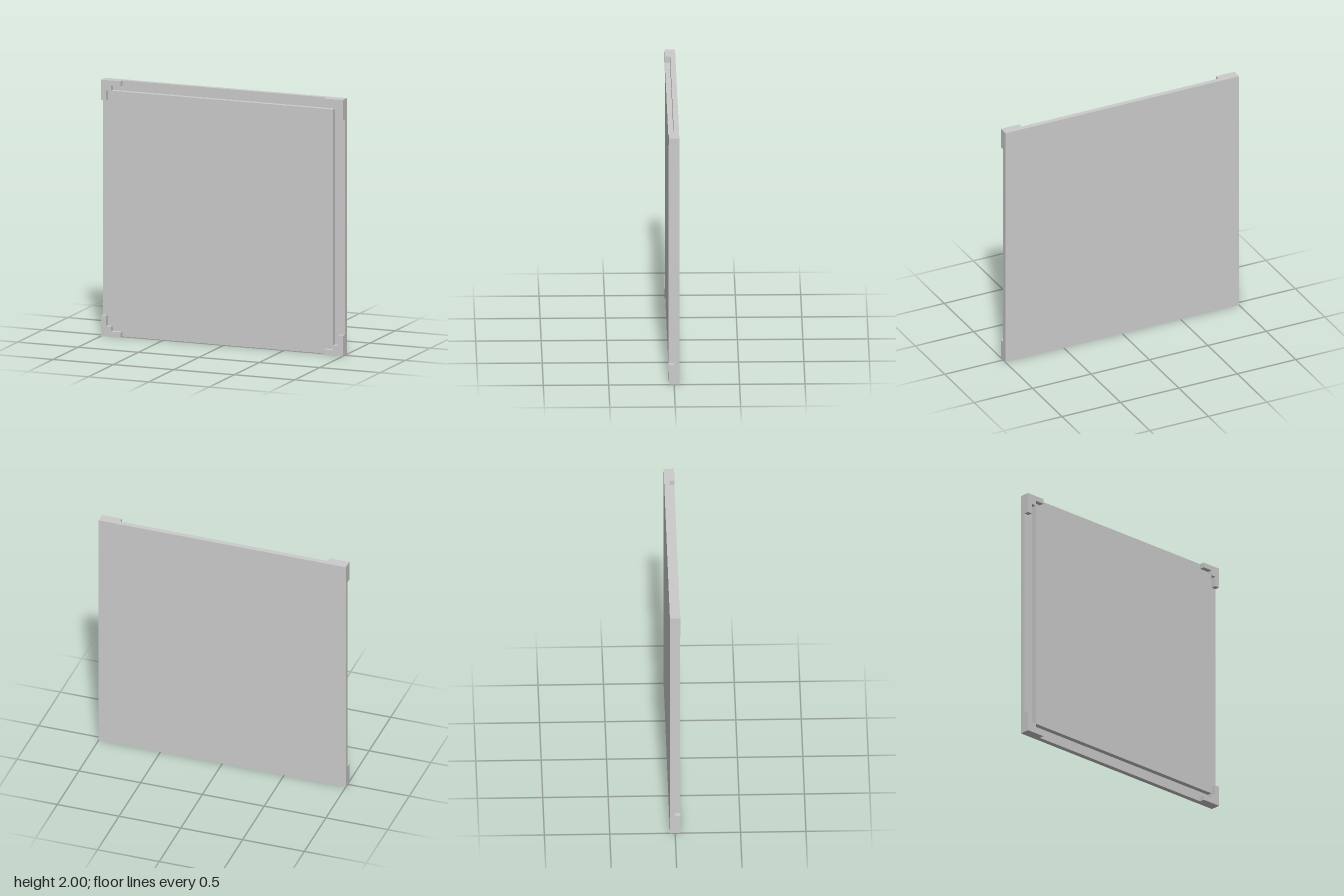
import * as THREE from 'three';

export function createModel() {
  const model = new THREE.Group();
  const material = new THREE.MeshStandardMaterial({ color: 0xcccccc, flatShading: true });
  const half = 1, layer = 0.04, rim = 0.08, arm = 0.16;

  const add = (name, geometry, z) => {
    const mesh = new THREE.Mesh(geometry, material);
    mesh.name = name;
    mesh.position.set(0, half, z);
    model.add(mesh);
    return mesh;
  };

  // Full-size back plate with a smaller raised panel in front of it
  add('backPlate', new THREE.BoxGeometry(2 * half, 2 * half, layer), -layer / 2);
  const inner = 2 * (half - rim);
  add('raisedPanel', new THREE.BoxGeometry(inner, inner, layer), layer / 2);

  // Stepped corner bracket: a square block with a thin arm along each edge
  const outline = [
    [half, half], [half - arm, half], [half - arm, half - layer],
    [half - rim, half - layer], [half - rim, half - rim],
    [half - layer, half - rim], [half - layer, half - arm], [half, half - arm],
  ].map(([x, y]) => new THREE.Vector2(x, y));
  const bracket = new THREE.ExtrudeGeometry(new THREE.Shape(outline), {
    depth: layer, bevelEnabled: false,
  });

  // The bracket is symmetric about its diagonal, so quarter turns fill all corners
  ['topLeft', 'topRight', 'bottomRight', 'bottomLeft'].forEach((corner, i) => {
    add(`${corner}Bracket`, bracket, 0).rotation.z = i * Math.PI / 2;
  });

  return model;
}
